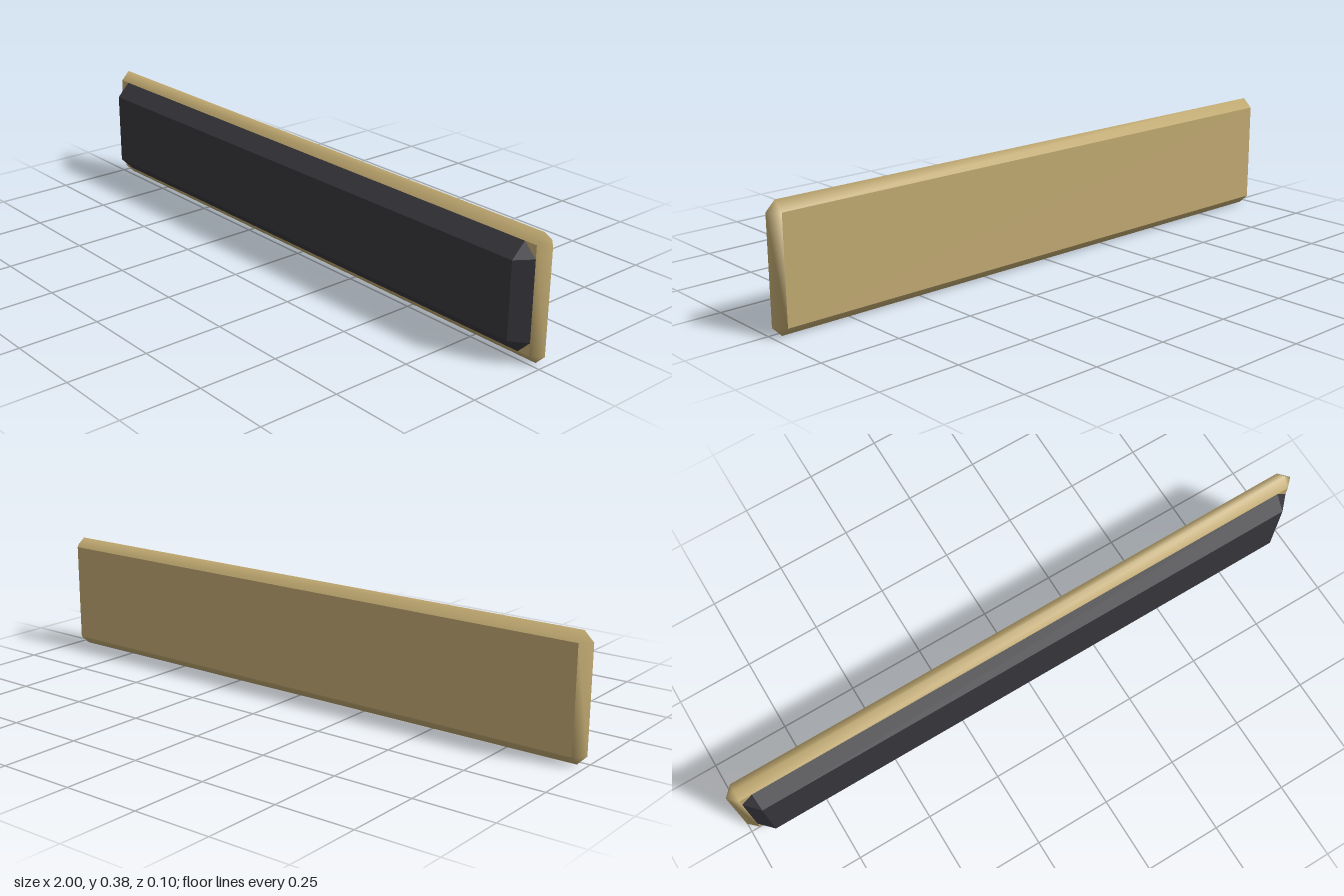
import * as THREE from 'three';
import { mergeVertices, mergeGeometries } from 'three/addons/utils/BufferGeometryUtils.js';

const CENTER_Y = 0.1915;

// Rectangle ring with cut corners, counter-clockwise seen from the front
function ring({ w, h, z, cut = 0 }) {
  const points = [];
  for (const [sx, sy] of [[1, -1], [1, 1], [-1, 1], [-1, -1]]) {
    const alongY = new THREE.Vector3(sx * w, CENTER_Y + sy * (h - cut), z);
    const alongX = new THREE.Vector3(sx * (w - cut), CENTER_Y + sy * h, z);
    points.push(...(sx === sy ? [alongY, alongX] : [alongX, alongY]));
  }
  return points;
}

// Triangles to geometry, dropping the empty ones
function fromTriangles(triangles, smooth) {
  const corners = triangles
    .filter(([a, b, c]) => new THREE.Triangle(a, b, c).getArea() > 1e-8)
    .flat();
  let geometry = new THREE.BufferGeometry().setFromPoints(corners);
  if (smooth) geometry = mergeVertices(geometry, 1e-4);
  geometry.computeVertexNormals();
  return smooth ? geometry.toNonIndexed() : geometry;
}

// Bevelled slab: sections from back to front, closed with flat caps
function slab(name, color, sections, smooth) {
  const rings = sections.map(ring);
  const sides = [], caps = [];
  for (let r = 0; r < rings.length - 1; r++) {
    const a = rings[r], b = rings[r + 1];
    for (let i = 0; i < 8; i++) {
      const j = (i + 1) % 8;
      sides.push([a[i], a[j], b[j]], [a[i], b[j], b[i]]);
    }
  }
  const back = rings[0], front = rings[rings.length - 1];
  for (let i = 1; i < 7; i++) {
    caps.push([front[0], front[i], front[i + 1]], [back[0], back[i + 1], back[i]]);
  }
  const geometry = mergeGeometries([fromTriangles(sides, smooth), fromTriangles(caps, false)]);
  const mesh = new THREE.Mesh(geometry, new THREE.MeshStandardMaterial({ color }));
  mesh.name = name;
  return mesh;
}

export function createModel() {
  const group = new THREE.Group();
  group.name = 'framedPlate';

  // Gold backing with a bevelled rim
  group.add(slab('goldBacking', 0xbfa870, [
    { w: 0.97, h: 0.162, z: -0.0525 },
    { w: 1, h: 0.1915, z: -0.021, cut: 0.03 },
    { w: 0.97, h: 0.162, z: 0.008 },
  ], true));

  // Dark raised panel with chamfered corners
  group.add(slab('darkPanel', 0x37363b, [
    { w: 0.97, h: 0.162, z: 0.008, cut: 0.04 },
    { w: 0.928, h: 0.118, z: 0.0525 },
  ], false));

  return group;
}
